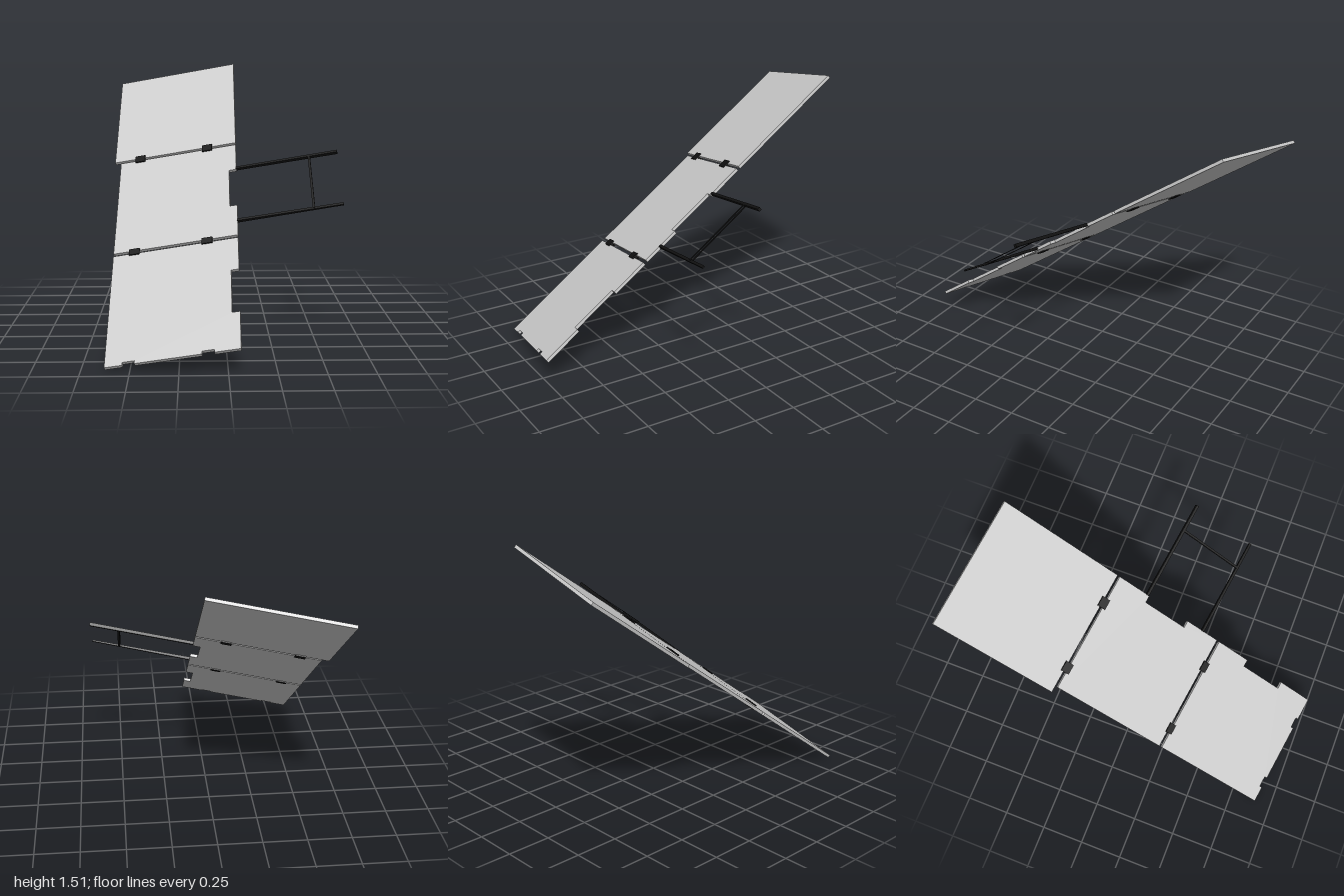
import * as THREE from 'three';

const T = 0.018; // panel thickness
const grey = new THREE.MeshStandardMaterial({ color: 0xcccccc });
const black = new THREE.MeshStandardMaterial({ color: 0x111111 });

// Panel frame: x runs across the panels, y out of their top face, z down the slope.
// The outline is a list of [x, z] corners.
function panel(name, outline) {
  const shape = new THREE.Shape(outline.map(([x, z]) => new THREE.Vector2(x, -z)));
  const geo = new THREE.ExtrudeGeometry(shape, { depth: T, bevelEnabled: false });
  geo.rotateX(-Math.PI / 2).translate(0, -T, 0);
  const mesh = new THREE.Mesh(geo, grey);
  mesh.name = name;
  return mesh;
}

function box(name, w, h, d, x, y, z) {
  const mesh = new THREE.Mesh(new THREE.BoxGeometry(w, h, d), black);
  mesh.name = name;
  mesh.position.set(x, y, z);
  return mesh;
}

// Top and bottom plates joined by a knuckle in the gap
function hinge(x, z, length) {
  const g = new THREE.Group();
  g.name = 'hinge';
  g.add(box('hingeTopPlate', 0.06, 0.007, length, x, 0.0035, z));
  g.add(box('hingeBottomPlate', 0.06, 0.007, length, x, -T - 0.0035, z));
  g.add(box('hingeKnuckle', 0.05, T, 0.012, x, -T / 2, z));
  return g;
}

// Straight arm whose thickness changes toward its free end
function arm(z, tip) {
  const L = 0.6, mesh = box('supportArm', L, 0.017, 0.016, L / 2 - 0.003, -0.005, z);
  const p = mesh.geometry.attributes.position;
  for (let i = 0; i < p.count; i++) if (p.getX(i) > 0) p.setY(i, p.getY(i) * tip);
  mesh.geometry.computeVertexNormals();
  return mesh;
}

export function createModel() {
  const model = new THREE.Group();
  model.name = 'foldingPanels';
  const frame = new THREE.Group();
  frame.name = 'tiltedFrame';
  model.add(frame);

  // Three hinged panels, the lower two notched
  const left = -0.712, notch = -0.043;
  frame.add(panel('upperPanel', [[-0.75, 0], [-0.75, 0.779], [0, 0.779], [0, 0]]));
  frame.add(panel('middlePanel', [
    [left, 0.796], [left, 1.547], [0, 1.547], [0, 1.312],
    [notch, 1.312], [notch, 1.015], [0, 1.015], [0, 0.796],
  ]));
  const end = 2.333, cut = end - 0.018;
  frame.add(panel('lowerPanel', [
    [left, 1.566], [left, end],
    [-0.618, end], [-0.618, cut], [-0.553, cut], [-0.553, end],
    [-0.202, end], [-0.202, cut], [-0.137, cut], [-0.137, end],
    [0, end], [0, 2.092], [notch, 2.092], [notch, 1.8], [0, 1.8], [0, 1.566],
  ]));

  // Hinges across both gaps
  for (const x of [-0.59, -0.175]) {
    frame.add(hinge(x, 0.787, 0.052));
    frame.add(hinge(x, 1.557, 0.042));
  }

  // Side arms joined by a pair of thin strips
  const z1 = 1.003, z2 = 1.432;
  frame.add(arm(z1, 1.1), arm(z2, 0.5));
  for (const y of [-0.011, 0.002])
    frame.add(box('crossStrip', 0.013, 0.003, z2 - z1, 0.431, y, (z1 + z2) / 2));

  // Tilt the whole assembly
  const v = new THREE.Vector3(-0.009, -0.587, 0.809).normalize();
  const u = new THREE.Vector3(0.9744, 0.1745, 0.141);
  u.addScaledVector(v, -u.dot(v)).normalize();
  const n = new THREE.Vector3().crossVectors(v, u);
  frame.applyMatrix4(new THREE.Matrix4().makeBasis(u, n, v).setPosition(0.083, 1.51, -0.887));
  return model;
}
